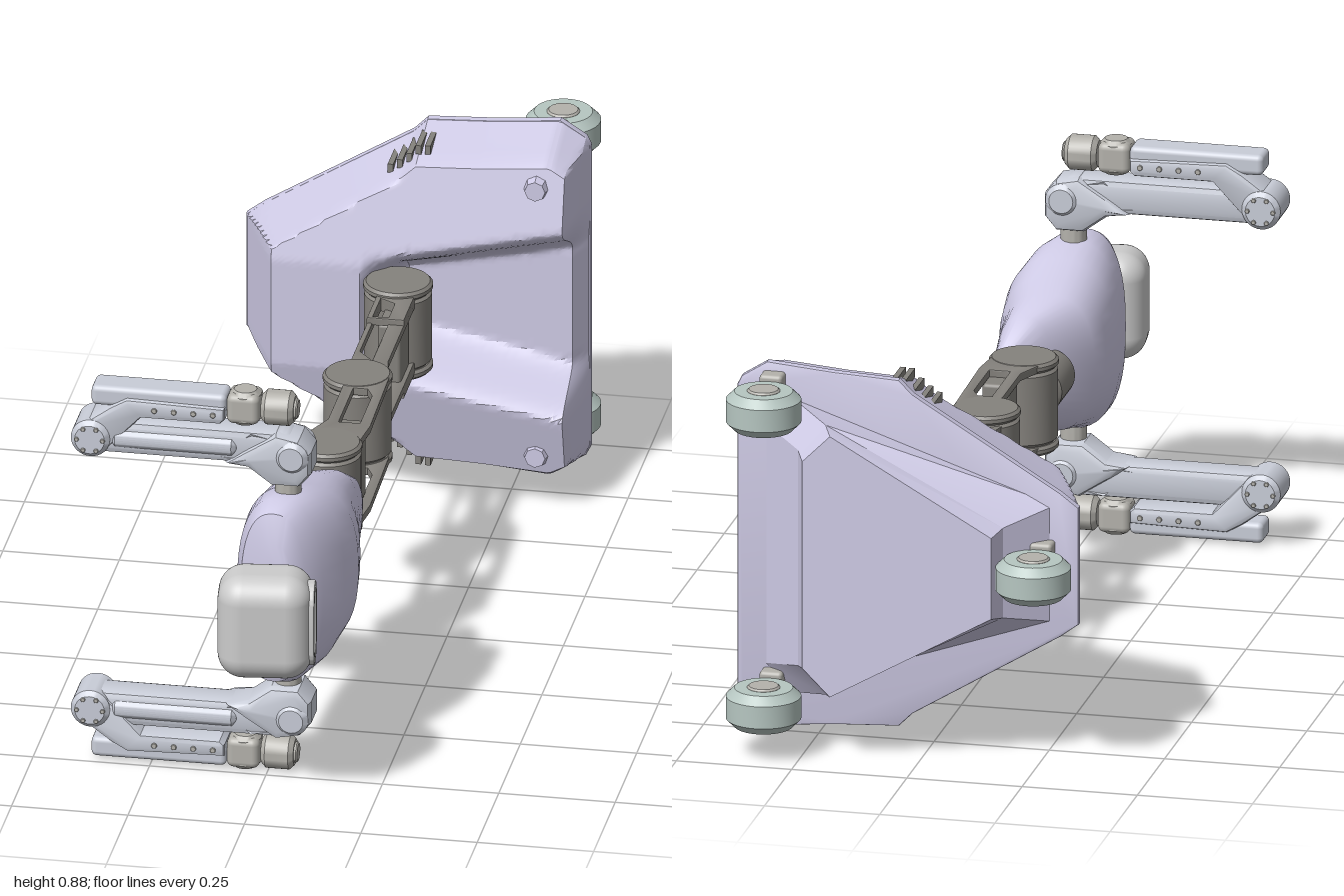
import * as THREE from 'three';
import { toCreasedNormals } from 'three/addons/utils/BufferGeometryUtils.js';
import { RoundedBoxGeometry } from 'three/addons/geometries/RoundedBoxGeometry.js';

const mat = (color) => new THREE.MeshStandardMaterial({ color, side: THREE.DoubleSide });
const shellMat = mat(0xcfcbe6), headMat = mat(0xd2d6d4), armMat = mat(0xc9cdd8);
const darkMat = mat(0x85827d), handMat = mat(0xb4b2ac), wheelMat = mat(0xb6c6c1);
const clamp = THREE.MathUtils.clamp;

function add(parent, name, geo, material, x = 0, y = 0, z = 0) {
  const m = new THREE.Mesh(geo, material);
  m.name = name;
  m.position.set(x, y, z);
  parent.add(m);
  return m;
}

const outline = (pts) => new THREE.Shape(pts.map(([x, y]) => new THREE.Vector2(x, y)));

// Slab with bevelled rims, centred on z = 0
function slab(shape, depth, bevel = 0.008) {
  const g = new THREE.ExtrudeGeometry(shape, {
    depth: depth - 2 * bevel, bevelSize: bevel, bevelOffset: -bevel,
    bevelThickness: bevel, bevelSegments: 2, curveSegments: 12,
  });
  return toCreasedNormals(g.translate(0, 0, bevel - depth / 2), 0.6);
}

// Stadium between two points on one line
function stadium(Cls, x0, x1, y, r) {
  const s = new Cls();
  s.absarc(x1, y, r, -Math.PI / 2, Math.PI / 2);
  s.absarc(x0, y, r, Math.PI / 2, Math.PI * 1.5);
  s.closePath();
  return s;
}

// Cylinder with softened rims along the y axis
function drum(r, len, bevel = 0.01) {
  const p = [[0, -len / 2], [r - bevel, -len / 2], [r, -len / 2 + bevel],
    [r, len / 2 - bevel], [r - bevel, len / 2], [0, len / 2]];
  return toCreasedNormals(new THREE.LatheGeometry(p.map(([a, b]) => new THREE.Vector2(a, b)), 32), 0.5);
}

// Skin over closed rings stacked along +z, with both ends capped
function loft(rings) {
  const n = rings[0].length, pos = [], idx = [];
  rings.forEach((r) => r.forEach((p) => pos.push(...p)));
  for (let j = 0; j < rings.length - 1; j++)
    for (let i = 0; i < n; i++) {
      const a = j * n + i, b = j * n + (i + 1) % n;
      idx.push(a, b, b + n, a, b + n, a + n);
    }
  const top = (rings.length - 1) * n;
  for (let i = 1; i < n - 1; i++) idx.push(0, i + 1, i, top, top + i, top + i + 1);
  const g = new THREE.BufferGeometry();
  g.setAttribute('position', new THREE.Float32BufferAttribute(pos, 3));
  g.setIndex(idx);
  g.computeVertexNormals();
  return g;
}

function buildTorso(root) {
  // z, lowest x, highest x, half height in y
  const rows = [[0.3, 0.095, 0.125, 0.04], [0.33, 0.07, 0.13, 0.075], [0.41, 0.015, 0.14, 0.125],
    [0.49, -0.055, 0.152, 0.152], [0.55, -0.066, 0.166, 0.168], [0.62, -0.07, 0.175, 0.188],
    [0.69, -0.067, 0.158, 0.21], [0.76, -0.06, 0.125, 0.213], [0.8, -0.045, 0.095, 0.195], [0.82, 0, 0.07, 0.13]];
  const power = (v) => Math.sign(v) * Math.abs(v) ** 0.8;
  const rings = rows.map(([z, a, b, h]) => Array.from({ length: 40 }, (_, i) => {
    const t = (i / 40) * Math.PI * 2;
    return [(a + b) / 2 + ((b - a) / 2) * power(Math.cos(t)), h * power(Math.sin(t)), z];
  }));
  add(root, 'torso', toCreasedNormals(loft(rings), 0.7), shellMat);
  add(root, 'waistPost', drum(0.055, 0.14).rotateX(Math.PI / 2), darkMat, 0.025, 0, 0.36);
  add(root, 'neck', drum(0.045, 0.06).rotateX(Math.PI / 2), handMat, 0.035, 0, 0.83);
}

function buildHead(root) {
  const head = new THREE.Group();
  head.name = 'head';
  head.position.set(0.03, 0, 0.917);
  head.rotation.y = 0.12;
  root.add(head);
  add(head, 'headShell', new RoundedBoxGeometry(0.2, 0.235, 0.15, 6, 0.055), headMat);
  // Raised rim around the face slot
  const rim = stadium(THREE.Shape, -0.05, 0.05, 0, 0.045);
  rim.holes.push(stadium(THREE.Path, -0.05, 0.05, 0, 0.025));
  add(head, 'faceRim', slab(rim, 0.02, 0.004).rotateZ(Math.PI / 2).rotateY(Math.PI / 2), headMat, 0.096, 0, 0);
}

function buildArm(root, side) {
  const arm = new THREE.Group();
  arm.name = side > 0 ? 'upperSideArm' : 'lowerSideArm';
  arm.position.z = 0.705;
  arm.scale.y = side;
  root.add(arm);
  add(arm, 'shoulderPost', drum(0.028, 0.05, 0.005), handMat, 0.04, 0.222, 0);
  const shoulder = outline([[0.01, 0.235], [0.07, 0.235], [0.095, 0.265], [0.095, 0.315], [0.07, 0.345],
    [0.02, 0.355], [-0.05, 0.31], [-0.09, 0.28], [-0.04, 0.272]]);
  add(arm, 'shoulder', slab(shoulder, 0.1, 0.018), armMat);
  add(arm, 'shoulderCap', drum(0.036, 0.112).rotateX(Math.PI / 2), armMat, 0.055, 0.305, 0);
  // Upper arm with an opening near the shoulder
  const upper = stadium(THREE.Shape, -0.377, 0.03, 0.316, 0.038);
  upper.holes.push(new THREE.Path([[-0.08, 0.298], [-0.03, 0.298], [0.01, 0.33], [-0.03, 0.335]]
    .map(([x, y]) => new THREE.Vector2(x, y))));
  add(arm, 'upperArm', slab(upper, 0.075, 0.014), armMat);
  add(arm, 'upperArmRod', drum(0.022, 0.27).rotateZ(Math.PI / 2), armMat, -0.2, 0.315, 0.026);
  add(arm, 'elbow', drum(0.042, 0.11).rotateX(Math.PI / 2), armMat, -0.377, 0.315, 0);
  for (let i = 0; i < 6; i++) {
    const a = (i / 6) * Math.PI * 2;
    add(arm, 'elbowBolt', drum(0.005, 0.116, 0.001).rotateX(Math.PI / 2), handMat,
      -0.377 + 0.028 * Math.cos(a), 0.315 + 0.028 * Math.sin(a), 0);
  }
  const link = outline([[-0.41, 0.335], [-0.35, 0.283], [-0.27, 0.368], [-0.1, 0.368], [-0.09, 0.378],
    [-0.09, 0.405], [-0.3, 0.41], [-0.335, 0.39]]);
  add(arm, 'forearmLink', slab(link, 0.09, 0.01), armMat);
  add(arm, 'forearm', new RoundedBoxGeometry(0.29, 0.045, 0.07, 3, 0.012), armMat, -0.233, 0.409, 0);
  for (let i = 0; i < 4; i++)
    add(arm, 'forearmBolt', drum(0.006, 0.096, 0.001).rotateX(Math.PI / 2), handMat, -0.24 + i * 0.042, 0.39, 0);
  // Wrist and hand
  add(arm, 'wrist', new RoundedBoxGeometry(0.07, 0.068, 0.07, 3, 0.015), handMat, -0.053, 0.4, 0);
  add(arm, 'wristDrum', drum(0.034, 0.076).translate(0, 0, 0), handMat, -0.052, 0.4, 0);
  add(arm, 'hand', drum(0.038, 0.07).rotateZ(Math.PI / 2), handMat, 0.02, 0.4, 0);
  add(arm, 'handTip', drum(0.022, 0.012, 0.003).rotateZ(Math.PI / 2), handMat, 0.056, 0.4, 0);
}

// Folding column: three drums joined by pairs of slotted plates
function buildColumn(root) {
  const joints = [0.225, -0.125, -0.595];
  joints.forEach((z) => {
    add(root, 'columnJoint', drum(0.072, 0.17), darkMat, 0.035, 0, z);
    for (const s of [-1, 1]) add(root, 'jointCap', drum(0.074, 0.02, 0.006), darkMat, 0.035, 0.092 * s, z);
  });
  // A plate outline is given as x and z, then laid flat across y
  const plate = (name, pts, hole, y, bend) => {
    const s = outline(pts.map(([x, z]) => [x, -z]));
    s.holes.push(new THREE.Path(hole.map(([x, z]) => new THREE.Vector2(x, -z))));
    const m = add(root, name, slab(s, 0.018, 0.003).rotateX(-Math.PI / 2), darkMat, 0, y, 0);
    if (bend) m.rotation.x = bend;
  };
  for (const s of [-1, 1]) {
    plate('upperLink', [[-0.03, 0.22], [0.015, 0.11], [0.015, -0.11], [0.105, -0.12], [0.11, 0.13], [0.1, 0.22]],
      [[0.04, 0.12], [0.085, 0.12], [0.085, -0.02], [0.07, -0.05], [0.04, -0.05]], 0.092 * s);
    plate('lowerLink', [[-0.02, -0.13], [0, -0.24], [0, -0.6], [0.08, -0.6], [0.08, -0.24], [0.1, -0.13]],
      [[0.012, -0.28], [0.045, -0.24], [0.045, -0.5], [0.012, -0.52]], 0.07 * s, 0);
    plate('lowerLinkEnd', [[0, -0.42], [0, -0.58], [0.08, -0.58], [0.08, -0.42]],
      [[0.012, -0.43], [0.045, -0.43], [0.045, -0.5], [0.012, -0.52]], 0.083 * s);
  }
  add(root, 'upperLinkBlock', new RoundedBoxGeometry(0.06, 0.17, 0.08, 2, 0.008), darkMat, 0.06, 0, 0.11);
  add(root, 'lowerLinkBlock', new RoundedBoxGeometry(0.05, 0.14, 0.1, 2, 0.008), darkMat, 0.045, 0, -0.485);
}

// Half height of the base outline at each x
const rimPts = [[-0.33, 0.13], [-0.29, 0.16], [0.03, 0.355], [0.06, 0.385], [0.2, 0.392], [0.345, 0.405], [0.4, 0.37], [0.41, 0.35]];
function rimAt(x) {
  for (let i = 1; i < rimPts.length; i++) {
    const [a, p] = rimPts[i - 1], [b, q] = rimPts[i];
    if (x <= b) return p + (q - p) * (x - a) / (b - a);
  }
  return 0.35;
}

function buildBase(root) {
  // Domed cover with sloped walls and a channel running out to +x
  const cover = new THREE.PlaneGeometry(1, 1, 74, 80), p = cover.attributes.position;
  for (let i = 0; i < p.count; i++) {
    const x = -0.33 + 0.74 * (p.getX(i) + 0.5), h = rimAt(x), y = p.getY(i) * 2 * h, d = Math.abs(y);
    const top = -0.605 - 0.065 * clamp((d - 0.12) / 0.25, 0, 1);
    const half = 0.1 + 0.08 * clamp(x / 0.4, 0, 1);
    const dip = 0.15 * clamp((x + 0.05) / 0.08, 0, 1) * THREE.MathUtils.smoothstep(half + 0.05 - d, 0, 0.1);
    const wall = clamp(Math.min((x + 0.33) / 0.09, (h - d) / 0.045, (0.41 - x) / 0.03), 0, 1);
    p.setXYZ(i, x, y, -0.81 + (top - dip + 0.81) * wall);
  }
  cover.computeVertexNormals();
  add(root, 'baseCover', toCreasedNormals(cover, 0.5), shellMat);
  const full = [...rimPts, ...rimPts.slice().reverse().map(([x, y]) => [x, -y])];
  add(root, 'baseFloor', slab(outline(full), 0.02, 0.004), shellMat, 0, 0, -0.812);

  // Tapered underbody
  const ring = (z, x0, x1, h0, h1) => [[x0, -h0], [x1 - 0.06, -h1], [x1, -h1 + 0.06], [x1, h1 - 0.06], [x1 - 0.06, h1], [x0, h0]]
    .map(([x, y]) => [x, y, z]);
  add(root, 'underbody', toCreasedNormals(loft([ring(-0.945, -0.17, 0.24, 0.09, 0.29),
    ring(-0.9, -0.185, 0.26, 0.1, 0.3), ring(-0.81, -0.28, 0.36, 0.13, 0.33)]), 0.4), shellMat);

  // Wheels on short forks
  for (const [x, y] of [[0.33, 0.33], [0.33, -0.33], [-0.255, 0]]) {
    add(root, 'wheel', drum(0.08, 0.085, 0.018), wheelMat, x, y, -0.918);
    add(root, 'wheelHub', drum(0.035, 0.094, 0.004), handMat, x, y, -0.918);
    add(root, 'wheelFork', new RoundedBoxGeometry(0.05, 0.11, 0.05, 2, 0.008), handMat, x, y, -0.832);
  }
  for (const s of [-1, 1]) {
    add(root, 'coverKnob', toCreasedNormals(new THREE.CylinderGeometry(0.022, 0.03, 0.03, 8).rotateX(Math.PI / 2), 0.3),
      shellMat, 0.32, 0.31 * s, -0.655);
    for (let i = 0; i < 5; i++)
      add(root, 'sideVent', new THREE.BoxGeometry(0.012, 0.02, 0.08), darkMat, 0.0 + i * 0.02, (rimAt(i * 0.02) - 0.024) * s, -0.735);
  }
}

export function createModel() {
  const root = new THREE.Group();
  root.name = 'wheeledRobot';
  const body = new THREE.Group();
  body.name = 'body';
  body.position.y = 0.445;
  root.add(body);
  buildHead(body);
  buildTorso(body);
  for (const s of [1, -1]) buildArm(body, s);
  buildColumn(body);
  buildBase(body);
  return root;
}
